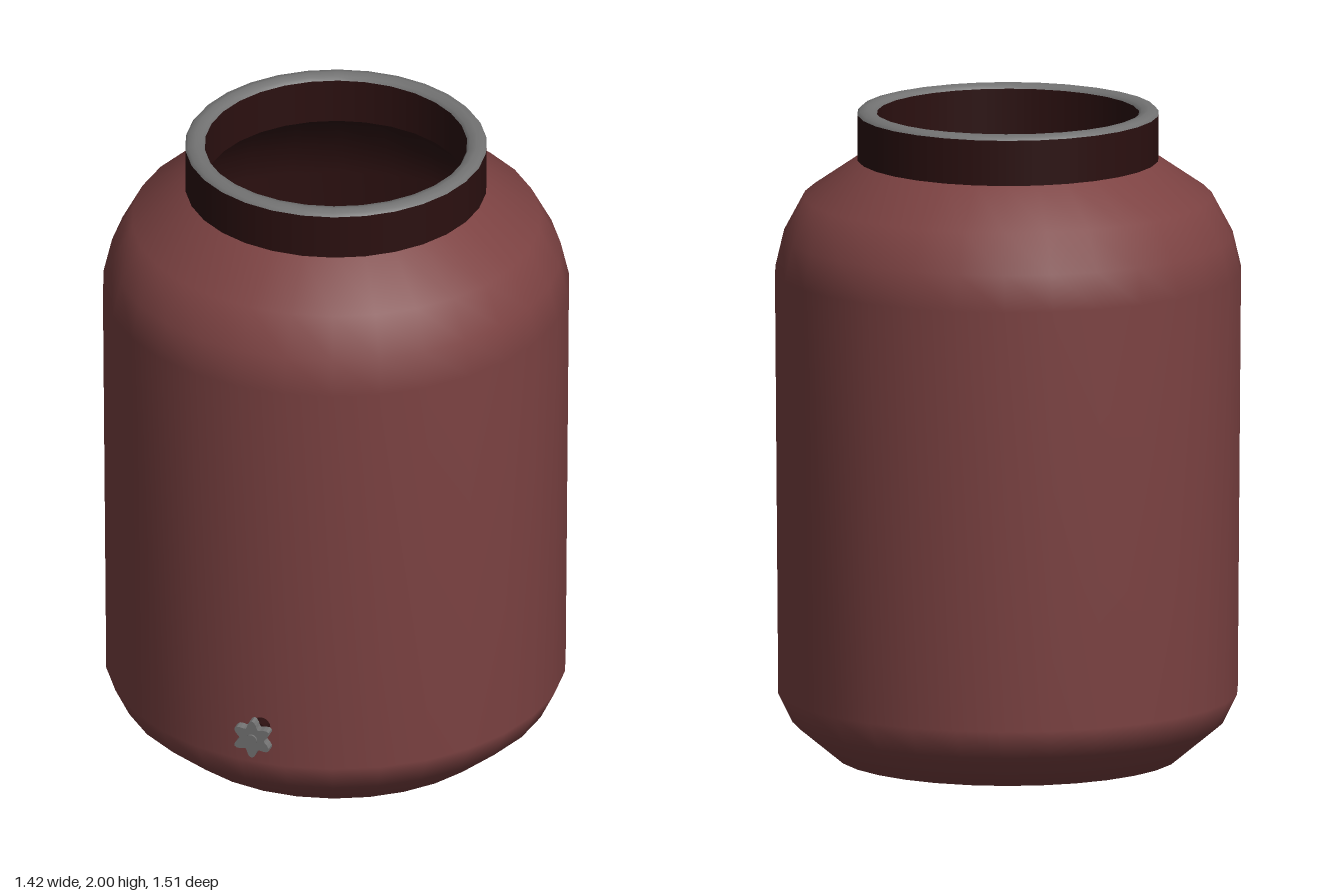
import * as THREE from 'three';

const mat = (name, color, side = THREE.FrontSide) =>
  Object.assign(new THREE.MeshStandardMaterial({ color, side }), { name });

export function createModel() {
  const model = new THREE.Group();
  model.name = 'barrel';
  const clay = mat('redBrown', 0x7c4242);
  const dark = mat('darkBrown', 0x2b1010);
  const grey = mat('grey', 0x737373);

  const SIDES = 30;
  const AXIS_Z = -0.045;
  const add = (name, geometry, material, x, y, z) => {
    const mesh = new THREE.Mesh(geometry, material);
    mesh.name = name;
    mesh.position.set(x, y, z);
    model.add(mesh);
    return mesh;
  };
  // Turned parts share one axis; the quarter turn puts a flat facet at the front
  const turned = (name, points, material) =>
    add(name, new THREE.LatheGeometry(points.map(p => new THREE.Vector2(...p)), SIDES, Math.PI / 2),
      material, 0, 0, AXIS_Z);

  // Outer shell, from the base centre up to the neck
  const shell = [[0, 0], [0.525, 0], [0.658, 0.11], [0.702, 0.2], [0.712, 1.5],
    [0.686, 1.61], [0.622, 1.73], [0.45, 1.848]];
  turned('body', shell, clay);

  // Inner lining, slightly inside the shell and facing inwards
  const lining = shell.map(([r, y]) => [Math.max(0, r - 0.01), y < 0.01 ? 0.01 : y]);
  turned('lining', lining.reverse(), dark);

  // Neck band: outer wall, underside and inner wall
  turned('neckOuter', [[0.46, 1.845], [0.46, 1.985]], dark);
  turned('neckUnderside', [[0.4, 1.845], [0.46, 1.845]], dark);
  turned('neckInner', [[0.4, 1.985], [0.4, 1.845]], dark);

  // Softly rounded rim on the neck
  turned('rim', [[0.46, 1.985], [0.452, 1.995], [0.43, 2], [0.408, 1.995], [0.4, 1.985]], grey);

  // Tap: round parts lying along z
  const TAP_Y = 0.33;
  const rod = (name, radius, from, to, material) => {
    const geometry = new THREE.CylinderGeometry(radius, radius, to - from, 16).rotateX(Math.PI / 2);
    return add(name, geometry, material, 0, TAP_Y, (from + to) / 2);
  };
  rod('tapCollar', 0.028, 0.64, 0.69, dark);
  rod('tapStem', 0.018, 0.68, 0.725, dark);

  // Six-lobed tap handle
  const star = new THREE.Shape();
  const LOBES = 6, STEPS = 48;
  for (let i = 0; i < STEPS; i++) {
    const a = (i / STEPS) * Math.PI * 2;
    const r = 0.051 + 0.012 * Math.cos(LOBES * a);
    star[i ? 'lineTo' : 'moveTo'](r * Math.sin(a), r * Math.cos(a));
  }
  add('tapHandle', new THREE.ExtrudeGeometry(star, { depth: 0.03, bevelEnabled: false }),
    grey, 0, TAP_Y, 0.718);
  rod('tapHub', 0.018, 0.74, 0.755, grey);

  return model;
}
